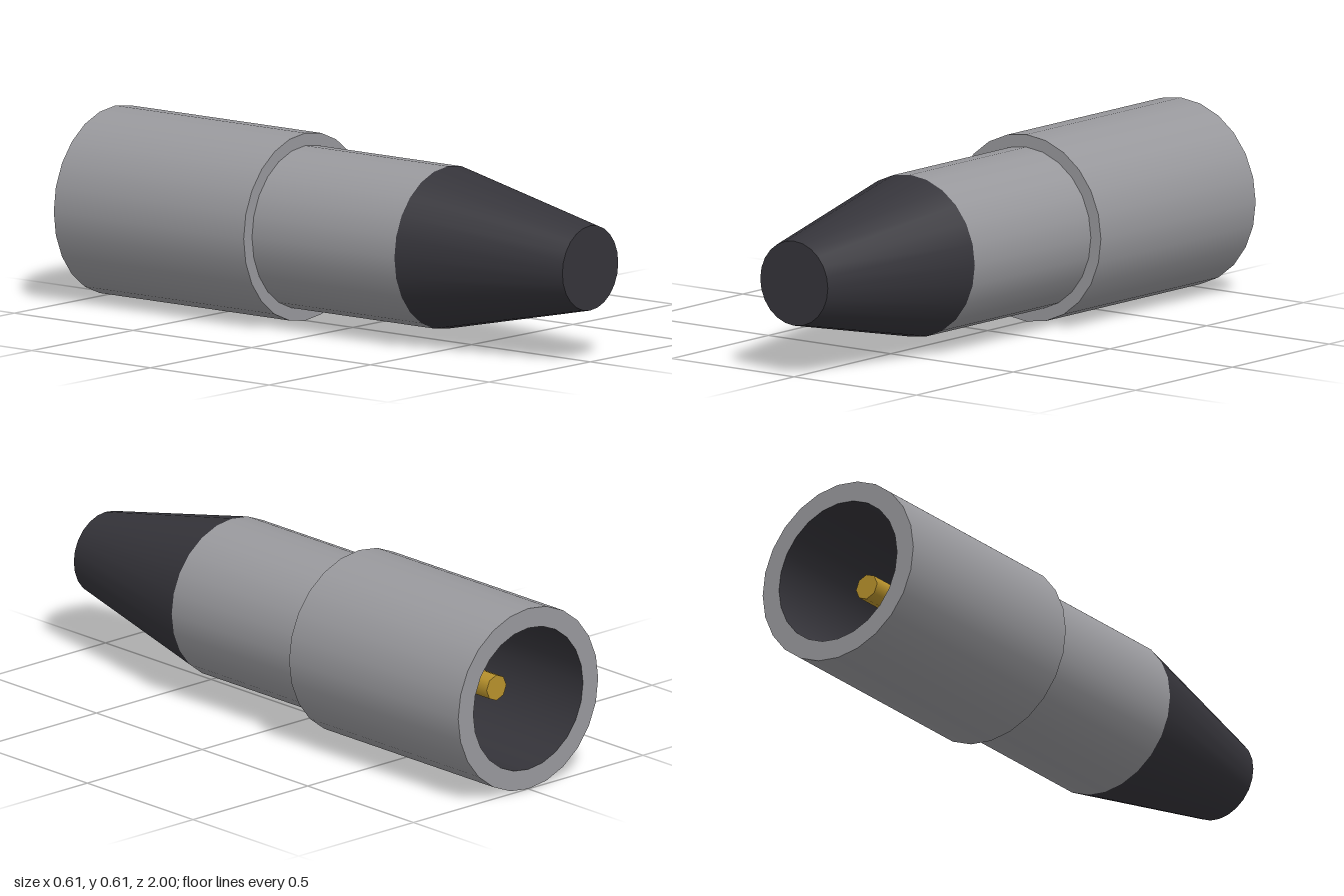
import * as THREE from 'three';

const SIDES = 24, CENTER_Y = 0.305;
const OUTER = 0.305, BORE = 0.239, BODY = 0.264, TIP = 0.138;

function flat(name, color, side = THREE.FrontSide) {
  const m = new THREE.MeshStandardMaterial({ color, side });
  m.name = name;
  return m;
}

export function createModel() {
  const metal = flat('grey metal', 0x99999d);
  const rubber = flat('dark rubber', 0x35343a);
  const lining = flat('dark rubber inside', 0x35343a, THREE.BackSide);
  const gold = flat('gold', 0xb8922c);

  const model = new THREE.Group();
  model.name = 'cableConnector';

  function add(name, geometry, material) {
    const mesh = new THREE.Mesh(geometry, material);
    mesh.name = name;
    mesh.position.y = CENTER_Y;
    model.add(mesh);
  }

  // Cylinder or cone lying along z, from zBack to zFront
  function barrel(rBack, rFront, zBack, zFront, open = false, sides = SIDES) {
    return new THREE.CylinderGeometry(rFront, rBack, zFront - zBack, sides, 1, open)
      .rotateX(Math.PI / 2)
      .translate(0, 0, (zBack + zFront) / 2);
  }

  // Socket shell: outer wall, front shoulder and rear rim
  add('socketShell', barrel(OUTER, OUTER, -1, -0.2, true), metal);
  add('socketShoulder', new THREE.RingGeometry(BODY, OUTER, SIDES).translate(0, 0, -0.2), metal);
  add('socketRim', new THREE.RingGeometry(BORE, OUTER, SIDES).rotateY(Math.PI).translate(0, 0, -1), metal);

  // Dark lining and floor of the socket
  add('socketLining', barrel(BORE, BORE, -1, -0.2, true), lining);
  add('socketFloor', new THREE.CircleGeometry(BORE, SIDES).rotateY(Math.PI).translate(0, 0, -0.2), rubber);

  // Recessed contact pin on the axis
  add('centerPin', barrel(0.043, 0.043, -0.85, -0.2, false, 8), gold);

  // Body and tapered strain relief
  add('body', barrel(BODY, BODY, -0.2, 0.4, true), metal);
  add('strainRelief', barrel(BODY, TIP, 0.4, 1), rubber);

  return model;
}
